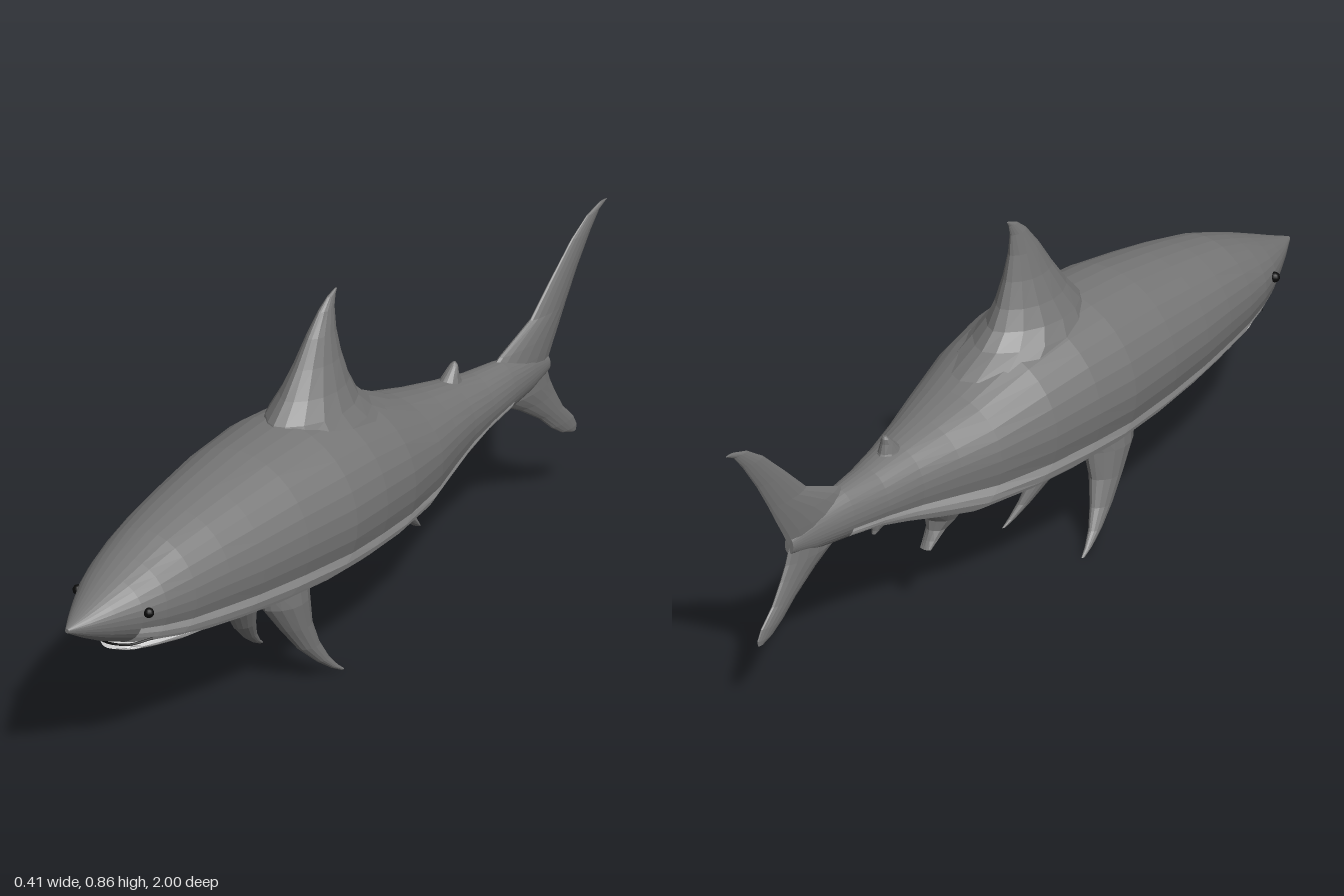
import * as THREE from 'three';

const skin = new THREE.MeshStandardMaterial({ color: 0x767676, flatShading: true });
const pale = new THREE.MeshStandardMaterial({ color: 0xeeeeee, flatShading: true });
const dark = new THREE.MeshStandardMaterial({ color: 0x0a0a0a });

// Skins a stack of equal-length rings and closes both ends; isPale picks the light panels
function loft(name, rings, isPale = () => false) {
  const n = rings[0].length, pos = [], skinIdx = [], paleIdx = [];
  rings.forEach(r => r.forEach(p => pos.push(p.x, p.y, p.z)));
  for (let i = 0; i < rings.length - 1; i++) {
    for (let j = 0; j < n; j++) {
      const a = i * n + j, b = i * n + (j + 1) % n;
      (isPale(i, j) ? paleIdx : skinIdx).push(a, b, b + n, a, b + n, a + n);
    }
  }
  [0, rings.length - 1].forEach(i => {
    const mid = rings[i].reduce((s, p) => s.add(p), new THREE.Vector3()).divideScalar(n);
    const c = pos.length / 3;
    pos.push(mid.x, mid.y, mid.z);
    for (let j = 0; j < n; j++) {
      const a = i * n + j, b = i * n + (j + 1) % n;
      const cap = i === 0 ? [c, b, a] : [c, a, b];
      (isPale(i, j) ? paleIdx : skinIdx).push(...cap);
    }
  });
  // A negative enclosed volume means the faces point inward
  const at = k => new THREE.Vector3().fromArray(pos, k * 3);
  const all = [...skinIdx, ...paleIdx];
  let volume = 0;
  for (let k = 0; k < all.length; k += 3) {
    volume += at(all[k]).dot(at(all[k + 1]).cross(at(all[k + 2])));
  }
  if (volume < 0) [skinIdx, paleIdx].forEach(list => list.reverse());
  const g = new THREE.BufferGeometry();
  g.setAttribute('position', new THREE.Float32BufferAttribute(pos, 3));
  g.setIndex([...skinIdx, ...paleIdx]);
  g.addGroup(0, skinIdx.length, 0);
  g.addGroup(skinIdx.length, paleIdx.length, 1);
  g.computeVertexNormals();
  const mesh = new THREE.Mesh(g, [skin, pale]);
  mesh.name = name;
  return mesh;
}

// Fin from level sections: [y, front z, back z, half thickness, centre x]
function fin(name, sections, sides = 16) {
  return loft(name, sections.map(([y, zf, zb, w, x = 0]) =>
    Array.from({ length: sides }, (_, j) => {
      const t = j / sides * Math.PI * 2, s = Math.sin(t);
      // Lens shape, thinner toward the leading and trailing edges
      return new THREE.Vector3(x + w * s * Math.pow(Math.abs(s), 0.3), y,
        (zf + zb) / 2 + (zf - zb) / 2 * Math.cos(t));
    })));
}

// Body sections: [z, top y, bottom y, half width, y of widest point]
function bodyMesh() {
  const sides = 32;
  const stations = [
    [1, 0.404, 0.394, 0.005, 0.4], [0.95, 0.425, 0.365, 0.035, 0.4],
    [0.9, 0.448, 0.34, 0.062, 0.4], [0.84, 0.475, 0.316, 0.092, 0.4],
    [0.78, 0.5, 0.294, 0.114, 0.4], [0.7, 0.53, 0.271, 0.135, 0.4],
    [0.6, 0.553, 0.253, 0.156, 0.405], [0.5, 0.572, 0.24, 0.173, 0.405],
    [0.36, 0.594, 0.226, 0.193, 0.41], [0.2, 0.606, 0.219, 0.207, 0.41],
    [0.08, 0.598, 0.216, 0.201, 0.41], [-0.05, 0.572, 0.217, 0.182, 0.4],
    [-0.2, 0.516, 0.224, 0.145, 0.39], [-0.3, 0.49, 0.25, 0.113, 0.385],
    [-0.4, 0.469, 0.28, 0.085, 0.38], [-0.5, 0.45, 0.307, 0.064, 0.375],
    [-0.6, 0.44, 0.32, 0.047, 0.375], [-0.7, 0.42, 0.33, 0.028, 0.372],
    [-0.775, 0.39, 0.35, 0.012, 0.37],
  ];
  const rings = stations.map(([z, top, bottom, w, mid]) =>
    Array.from({ length: sides }, (_, j) => {
      const t = j / sides * Math.PI * 2, s = Math.sin(t), c = Math.cos(t);
      const ry = c > 0 ? top - mid : mid - bottom;
      // The belly is a little squarer than the back
      const x = Math.sign(s) * Math.pow(Math.abs(s), c > 0 ? 1 : 0.85);
      return new THREE.Vector3(w * x, mid + ry * c, z);
    }));
  // Pale belly from the mouth to the tail root
  return loft('body', rings, (i, j) => i >= 3 && i <= 15 && j >= 10 && j <= 21);
}

export function createModel() {
  const shark = new THREE.Group();
  shark.name = 'shark';
  shark.add(bodyMesh());

  shark.add(fin('dorsalFin', [
    [0.53, 0.25, -0.17, 0.12], [0.57, 0.25, -0.09, 0.105], [0.605, 0.235, -0.05, 0.084],
    [0.65, 0.193, -0.025, 0.063], [0.71, 0.148, -0.004, 0.042], [0.77, 0.107, 0.01, 0.026],
    [0.82, 0.066, 0.012, 0.013], [0.845, 0.035, 0.006, 0.006], [0.856, 0.008, 0, 0.002],
  ]));
  shark.add(fin('secondDorsalFin', [
    [0.43, -0.36, -0.47, 0.035], [0.463, -0.385, -0.45, 0.023], [0.485, -0.41, -0.443, 0.015],
    [0.497, -0.424, -0.442, 0.01], [0.503, -0.431, -0.439, 0.004],
  ], 12));

  // Tail lobes
  shark.add(fin('upperTailLobe', [
    [0.36, -0.52, -0.77, 0.022], [0.41, -0.54, -0.798, 0.022], [0.447, -0.6, -0.82, 0.019],
    [0.495, -0.715, -0.847, 0.014], [0.565, -0.79, -0.89, 0.011], [0.635, -0.868, -0.94, 0.008],
    [0.672, -0.925, -0.972, 0.005], [0.686, -0.97, -1, 0.003],
  ]));
  shark.add(fin('lowerTailLobe', [
    [0.38, -0.58, -0.77, 0.02], [0.325, -0.61, -0.788, 0.02], [0.29, -0.675, -0.806, 0.016],
    [0.24, -0.75, -0.836, 0.012], [0.2, -0.795, -0.875, 0.009], [0.175, -0.832, -0.888, 0.006],
    [0.163, -0.865, -0.885, 0.003],
  ]));

  // Paired pectoral fins
  [1, -1].forEach(side => {
    shark.add(fin(side > 0 ? 'leftPectoralFin' : 'rightPectoralFin', [
      [0.255, 0.36, 0.2, 0.044, 0.064], [0.215, 0.352, 0.204, 0.048, 0.064],
      [0.15, 0.305, 0.207, 0.034, 0.076], [0.09, 0.258, 0.19, 0.022, 0.088],
      [0.045, 0.208, 0.167, 0.013, 0.1], [0.015, 0.165, 0.142, 0.007, 0.108],
      [0, 0.136, 0.124, 0.003, 0.112],
    ].map(([y, zf, zb, w, x]) => [y, zf, zb, w, x * side])));
  });

  // Small fins under the rear body
  shark.add(fin('pelvicFin', [
    [0.26, -0.15, -0.31, 0.06], [0.225, -0.19, -0.277, 0.04], [0.2, -0.222, -0.277, 0.024],
    [0.178, -0.256, -0.287, 0.019], [0.16, -0.283, -0.297, 0.015],
  ], 12));
  shark.add(fin('analFin', [
    [0.325, -0.41, -0.5, 0.035], [0.297, -0.437, -0.479, 0.018],
    [0.283, -0.458, -0.477, 0.01], [0.274, -0.47, -0.478, 0.005],
  ], 12));

  // Lower jaw, merging into the belly: [z, top y, bottom y, half width]
  const jawSections = [
    [0.851, 0.308, 0.3, 0.04], [0.835, 0.314, 0.293, 0.062], [0.79, 0.322, 0.284, 0.08],
    [0.7, 0.325, 0.267, 0.095], [0.6, 0.325, 0.255, 0.1],
  ];
  shark.add(loft('lowerJaw', jawSections.map(([z, top, bottom, w]) =>
    Array.from({ length: 20 }, (_, j) => {
      const t = j / 20 * Math.PI * 2;
      // The front edge curves back toward the corners of the mouth
      return new THREE.Vector3(w * Math.sin(t),
        (top + bottom) / 2 + (top - bottom) / 2 * Math.cos(t),
        z - 0.03 * Math.sin(t) ** 2);
    })), () => true));

  // Mouth line
  const lips = [[-0.086, 0.328, 0.797], [-0.05, 0.316, 0.834], [0, 0.313, 0.85],
    [0.05, 0.316, 0.834], [0.086, 0.328, 0.797]].map(p => new THREE.Vector3(...p));
  const mouth = new THREE.Mesh(
    new THREE.TubeGeometry(new THREE.CatmullRomCurve3(lips), 20, 0.003, 6), dark);
  mouth.name = 'mouth';
  shark.add(mouth);

  // Eyes
  [1, -1].forEach(side => {
    const eye = new THREE.Mesh(new THREE.SphereGeometry(0.012, 12, 8), dark);
    eye.name = side > 0 ? 'leftEye' : 'rightEye';
    eye.position.set(side * 0.098, 0.406, 0.828);
    shark.add(eye);
  });

  return shark;
}
